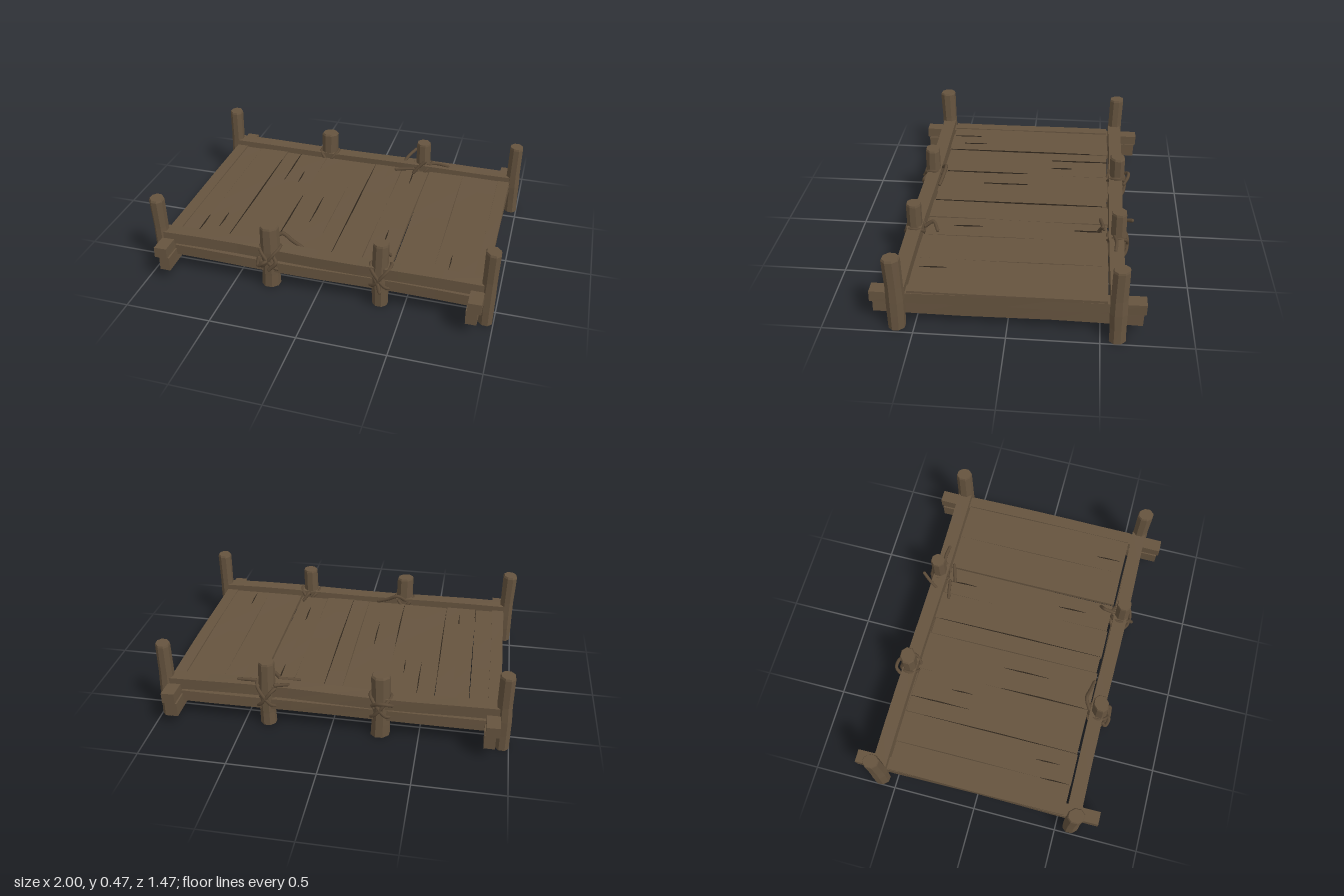
import * as THREE from 'three';

const wood = new THREE.MeshStandardMaterial({ color: 0x66543f, flatShading: true });
wood.name = 'weathered wood';
const dark = new THREE.MeshStandardMaterial({ color: 0x30271d });
dark.name = 'dark crack';
const rope = new THREE.MeshStandardMaterial({ color: 0x5c4b38 });
rope.name = 'old rope';

// Gentle hand-hewn wobble; depends only on position, so seams stay closed
function hew(geo, amount, seed) {
  const p = geo.attributes.position;
  for (let i = 0; i < p.count; i++) {
    const x = p.getX(i), y = p.getY(i), z = p.getZ(i);
    p.setXYZ(i,
      x + amount * Math.sin(9 * y + 5 * z + seed * 1.7),
      y + amount * Math.sin(5 * x + 6 * z + seed * 2.3),
      z + amount * Math.sin(4 * x + 8 * y + seed * 3.1));
  }
  geo.computeVertexNormals();
  return geo;
}

function add(parent, name, geo, mat, x = 0, y = 0, z = 0) {
  const mesh = new THREE.Mesh(geo, mat);
  mesh.name = name;
  mesh.position.set(x, y, z);
  parent.add(mesh);
  return mesh;
}

// Faceted post with a small chamfer at the top
function post(parent, name, x, z, rx, rz, h, seed) {
  const geo = new THREE.CylinderGeometry(1, 1, h, 8, 5);
  const p = geo.attributes.position;
  for (let i = 0; i < p.count; i++) {
    const top = p.getY(i) > h / 2 - 0.001;
    const row = top ? 0.9 : 1 + 0.04 * Math.sin(p.getY(i) * 22 + seed);
    if (!top && p.getY(i) > h / 2 - h / 4) p.setY(i, h / 2 - 0.012);
    p.setX(i, p.getX(i) * rx * row);
    p.setZ(i, p.getZ(i) * rz * row);
  }
  geo.rotateY(0.39);
  add(parent, name, hew(geo, 0.003, seed), wood, x, h / 2 + 0.003, z);
}

// Flattened rope along a few points
function cord(parent, name, pts, r = 0.011, closed = false) {
  const curve = new THREE.CatmullRomCurve3(pts.map((a) => new THREE.Vector3(...a)), closed);
  const geo = new THREE.TubeGeometry(curve, closed ? 32 : 14, r, 6, closed);
  const m = add(parent, name, geo, rope);
  if (!closed) {
    for (const t of [0, 1]) {
      const p = curve.getPoint(t);
      add(parent, name + 'End', new THREE.SphereGeometry(r, 6, 4), rope, p.x, p.y, p.z);
    }
  }
  return m;
}

export function createModel() {
  const model = new THREE.Group();
  model.name = 'woodenPlatform';

  // Deck boards with slightly different ends and heights
  const deck = new THREE.Group();
  deck.name = 'deck';
  model.add(deck);
  const seams = [-0.935, -0.76, -0.57, -0.29, -0.05, 0.055, 0.235, 0.417, 0.64, 0.868];
  for (let i = 0; i < seams.length - 1; i++) {
    const a = seams[i], b = seams[i + 1];
    const gap = i === 6 ? 0.009 : 0.002;
    const len = 1.06 + 0.008 * Math.sin(i * 2.7);
    const geo = hew(new THREE.BoxGeometry(b - a - gap, 0.026, len, 2, 1, 6), 0.0015, i);
    add(deck, 'deckBoard', geo, wood, (a + b - gap) / 2, 0.217 + 0.003 * Math.sin(i * 1.9), -0.002);
  }

  // Narrow splits in the boards: x, start z, end z
  const cracks = [
    [-0.57, -0.42, 0.52], [-0.47, -0.53, -0.17], [-0.375, -0.3, -0.17], [-0.29, -0.02, 0.5],
    [-0.16, -0.03, 0.25], [0.055, -0.5, 0.52], [0.318, -0.5, -0.34], [0.318, 0.2, 0.37],
    [-0.76, 0.34, 0.52], [-0.66, 0.29, 0.44], [-0.87, -0.52, -0.42], [0.72, 0.35, 0.5],
  ];
  for (const [x, z0, z1] of cracks) {
    const s = new THREE.Shape();
    s.moveTo(-0.001, z0);
    s.lineTo(0.004, (z0 + z1) / 2);
    s.lineTo(0.001, z1);
    s.lineTo(-0.003, (z0 * 2 + z1) / 3);
    const geo = new THREE.ExtrudeGeometry(s, { depth: 0.006, bevelEnabled: false });
    geo.rotateX(Math.PI / 2);
    add(deck, 'boardCrack', geo, dark, x, 0.237, 0);
  }

  // Paired side rails and paired cross beams
  for (const s of [-1, 1]) {
    add(model, 'upperRail', hew(new THREE.BoxGeometry(1.88, 0.068, 0.082, 8, 1, 1), 0.004, s + 1),
      wood, 0, 0.228, s * 0.583);
    add(model, 'lowerRail', hew(new THREE.BoxGeometry(1.8, 0.066, 0.078, 8, 1, 1), 0.003, s + 4),
      wood, 0, 0.147, s * 0.583);
    add(model, 'upperBeam', hew(new THREE.BoxGeometry(0.075, 0.064, 1.47, 1, 1, 6), 0.003, s + 2),
      wood, s * 0.9, 0.191, 0);
    add(model, 'lowerBeam', hew(new THREE.BoxGeometry(0.062, 0.086, 1.45, 1, 1, 6), 0.003, s + 6),
      wood, s * 0.888, 0.114, 0);
    add(model, 'edgeBoard', hew(new THREE.BoxGeometry(0.07, 0.022, 1.06, 1, 1, 5), 0.0015, s),
      wood, s * 0.902, 0.226, 0);
  }

  // Corner posts and shorter middle posts
  for (const z of [-0.59, 0.59]) {
    for (const x of [-0.957, 0.957]) post(model, 'cornerPost', x, z, 0.043, 0.05, 0.468, x * 3 + z);
    post(model, 'middlePost', -0.283, z, 0.054, 0.046, 0.397, z);
    post(model, 'middlePost', 0.362, z, 0.047, 0.046, 0.408, z + 2);
  }

  // Crossed lashings round each middle post and the rails
  for (const x of [-0.283, 0.362]) {
    for (const z of [-0.588, 0.588]) {
      const lashing = new THREE.Group();
      lashing.name = 'lashing';
      lashing.position.set(x, 0.195, z);
      model.add(lashing);
      for (const d of [-1, 1]) {
        cord(lashing, 'ropeLoop', [
          [-0.056, -0.06 * d, 0.02], [-0.03, -0.04 * d, 0.052], [0.03, 0.04 * d, 0.052],
          [0.056, 0.068 * d, 0.02], [0.056, 0.068 * d, -0.02], [0.03, 0.04 * d, -0.052],
          [-0.03, -0.04 * d, -0.052], [-0.056, -0.06 * d, -0.02],
        ], 0.01, true);
      }
    }
  }

  // Loose rope ends
  const ends = [
    [[-0.29, 0.26, 0.53], [-0.24, 0.3, 0.5], [-0.18, 0.27, 0.51], [-0.11, 0.24, 0.525]],
    [[-0.28, 0.2, 0.64], [-0.3, 0.19, 0.66], [-0.34, 0.16, 0.65], [-0.34, 0.2, 0.63]],
    [[-0.25, 0.22, 0.63], [-0.23, 0.2, 0.65], [-0.27, 0.15, 0.66]],
    [[0.34, 0.2, 0.64], [0.36, 0.17, 0.65], [0.375, 0.13, 0.665]],
    [[0.36, 0.25, 0.53], [0.355, 0.28, 0.48], [0.385, 0.24, 0.455]],
    [[-0.35, 0.23, -0.64], [-0.33, 0.25, -0.665], [-0.28, 0.25, -0.665], [-0.24, 0.22, -0.64]],
    [[0.24, 0.26, -0.58], [0.26, 0.285, -0.62], [0.295, 0.31, -0.67]],
    [[0.2, 0.24, -0.49], [0.25, 0.245, -0.5], [0.31, 0.25, -0.51]],
    [[0.32, 0.24, -0.48], [0.35, 0.28, -0.49], [0.39, 0.32, -0.5]],
    [[0.4, 0.265, -0.57], [0.46, 0.272, -0.58], [0.53, 0.265, -0.575]],
  ];
  for (const pts of ends) cord(model, 'looseRope', pts);

  return model;
}
